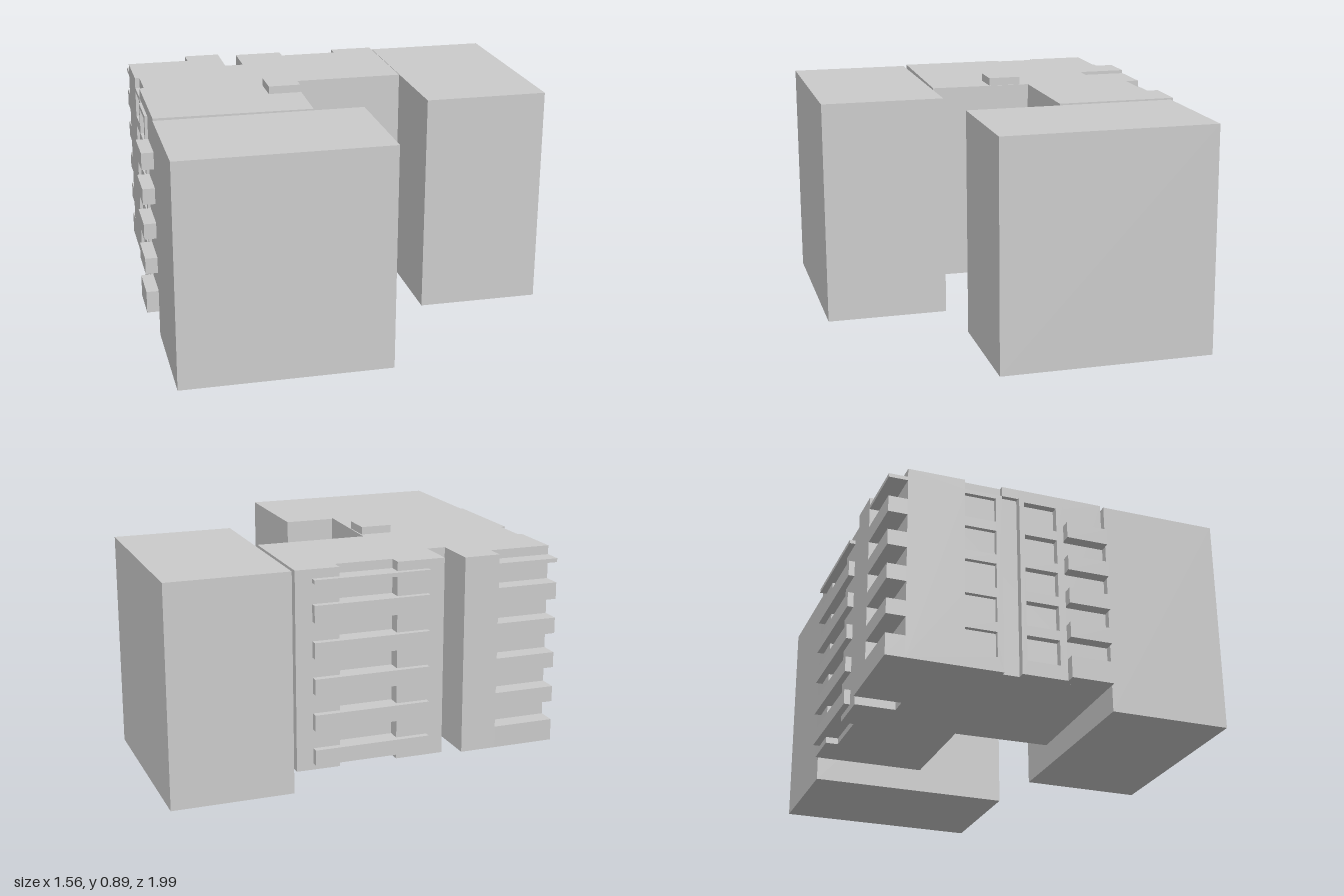
import * as THREE from 'three';

const BASE = 0.09, ROOF = 0.86;

export function createModel() {
  const root = new THREE.Group();
  root.name = 'buildingCluster';
  // Everything is laid out on a square plan (u, v), then turned as a whole
  const plan = new THREE.Group();
  plan.name = 'turnedPlan';
  plan.rotation.y = -THREE.MathUtils.degToRad(34.7);
  root.add(plan);
  const mat = new THREE.MeshStandardMaterial({ color: 0xcccccc, flatShading: true });

  const add = (name, geo) => {
    const mesh = new THREE.Mesh(geo, mat);
    mesh.name = name;
    plan.add(mesh);
    return mesh;
  };
  // Box given by its limits along u, y and v
  const box = (name, u0, u1, y0, y1, v0, v1) =>
    add(name, new THREE.BoxGeometry(u1 - u0, y1 - y0, v1 - v0))
      .position.set((u0 + u1) / 2, (y0 + y1) / 2, (v0 + v1) / 2);
  const shapeOf = pts => new THREE.Shape(pts.map(([x, y]) => new THREE.Vector2(x, y)));

  // Two plain wings
  box('backWing', -0.47, 0.328, 0, 0.855, -0.893, -0.419);
  box('frontWing', 0.356, 0.822, 0, 0.855, -0.162, 0.635);

  // Raised central block with notched plan
  const outline = [
    [-0.482, -0.412], [-0.032, -0.412], [-0.032, 0.025], [0.353, 0.033],
    [0.343, 0.615], [-0.437, 0.615], [-0.437, 0.388], [-0.511, 0.388],
    [-0.511, 0.247], [-0.325, 0.247], [-0.325, 0.174], [-0.486, 0.174],
    [-0.486, -0.015], [-0.435, -0.015], [-0.435, -0.242], [-0.484, -0.242],
  ];
  const core = new THREE.ExtrudeGeometry(
    shapeOf(outline.map(([u, v]) => [u, -v])), { depth: ROOF - BASE, bevelEnabled: false });
  core.rotateX(-Math.PI / 2);
  core.translate(0, BASE, 0);
  add('centralBlock', core);

  // Window rows and a pierced wall layer
  const rows = [0, 1, 2, 3, 4].map(i => 0.146 + i * 0.1393);
  const wall = (name, pts, w0, w1, v0, v1) => {
    const shape = shapeOf(pts);
    for (const y of rows) {
      shape.holes.push(new THREE.Path([
        [w0, y], [w0, y + 0.1], [w1, y + 0.1], [w1, y],
      ].map(p => new THREE.Vector2(...p))));
    }
    const geo = new THREE.ExtrudeGeometry(shape, { depth: v1 - v0, bevelEnabled: false });
    geo.translate(0, 0, v0);
    add(name, geo);
  };
  wall('leftFacade', [
    [-0.437, BASE], [-0.065, BASE], [-0.065, 0.82], [-0.214, 0.82], [-0.214, ROOF], [-0.437, ROOF],
  ], -0.214, -0.09, 0.615, 0.633);
  wall('rightFacade', [[0, BASE], [0.343, BASE], [0.343, ROOF], [0, ROOF]], 0.02, 0.15, 0.615, 0.633);
  wall('raisedWindowPanel', [[0, BASE], [0.178, BASE], [0.178, 0.82], [0, 0.82]], 0.02, 0.15, 0.633, 0.644);
  box('grooveLintel', -0.065, 0, 0.82, ROOF, 0.615, 0.633);

  // Floor slabs repeated at every storey
  const slabs = [
    [BASE, 0.175], [0.25, 0.312], [0.39, 0.451], [0.528, 0.59], [0.665, 0.73], [0.81, 0.825],
  ];
  slabs.forEach(([y0, y1], i) => {
    box('cornerSlab', -0.511, -0.437, y0, y1, 0.388, 0.633);
    box('sideBalcony', -0.51, -0.435, i === 0 ? 0.115 : y0, y1, -0.347, 0.109);
    if (i < 5) box('frontBalcony', 0.178, 0.343, y0, y1, 0.633, 0.68);
  });

  // Small hut on the roof
  box('roofHut', 0, 0.125, ROOF, 0.89, 0.032, 0.156);

  return root;
}
